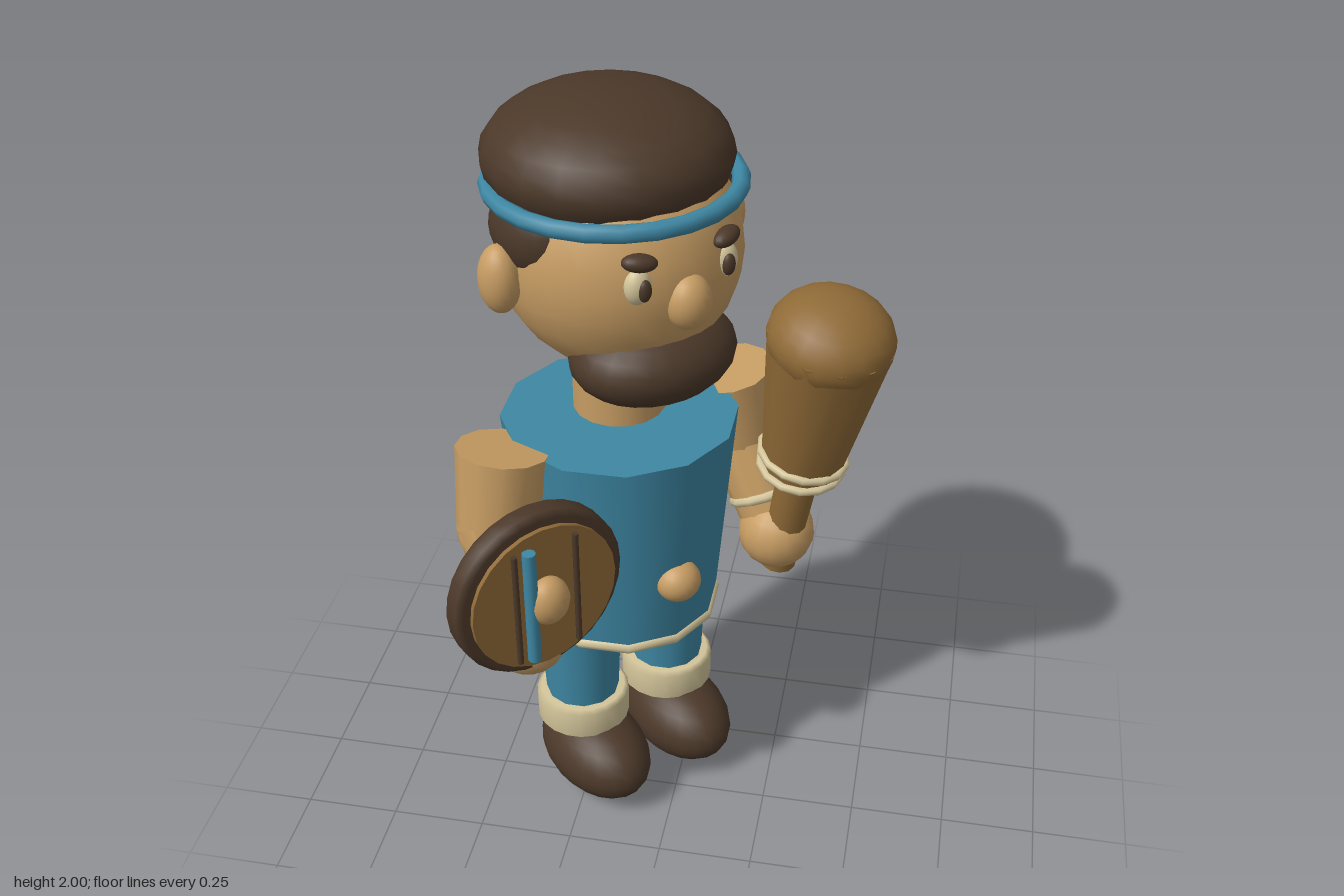
import * as THREE from 'three';

const mat = (name, color) => Object.assign(new THREE.MeshStandardMaterial({ color }), { name });

export function createModel() {
  const skin = mat('skin', 0xc69c63);
  const dark = mat('dark brown', 0x4b3829);
  const blue = mat('blue', 0x3e87a3);
  const cream = mat('cream', 0xd3c59a);
  const wood = mat('wood', 0x8f6a37);

  const model = new THREE.Group();
  model.name = 'figure';
  const body = new THREE.Group();
  body.name = 'body';
  body.position.set(-0.17, 0, -0.131);
  body.rotation.y = Math.PI / 4;
  model.add(body);

  const add = (name, geo, m, pos, parent = body) => {
    const mesh = new THREE.Mesh(geo, m);
    mesh.name = name;
    mesh.position.set(...pos);
    parent.add(mesh);
    return mesh;
  };
  const ball = (name, m, pos, r, parent = body, seg = 20) => {
    const mesh = add(name, new THREE.SphereGeometry(1, seg, 14), m, pos, parent);
    mesh.scale.set(...r);
    return mesh;
  };
  const tube = (name, m, pos, rTop, rBottom, h, seg = 12, parent = body) =>
    add(name, new THREE.CylinderGeometry(rTop, rBottom, h, seg), m, pos, parent);
  const ring = (name, m, pos, r, t, parent = body, seg = 24) => {
    const mesh = add(name, new THREE.TorusGeometry(r, t, 8, seg), m, pos, parent);
    mesh.rotation.x = Math.PI / 2;
    return mesh;
  };
  const UP = new THREE.Vector3(0, 1, 0);
  // tapered limb between two points
  const limb = (name, m, a, b, rA, rB) => {
    const p = new THREE.Vector3(...a), q = new THREE.Vector3(...b);
    const dir = p.clone().sub(q);
    const mid = p.clone().add(q).multiplyScalar(0.5);
    const mesh = tube(name, m, mid.toArray(), rA, rB, dir.length());
    mesh.quaternion.setFromUnitVectors(UP, dir.normalize());
    return mesh;
  };

  // torso and neck
  tube('torso', blue, [0, 0.87, 0], 0.302, 0.252, 0.57);
  tube('tunicTrim', cream, [0, 0.58, 0], 0.25, 0.25, 0.025);
  ring('tunicHem', cream, [0, 0.58, 0], 0.243, 0.018, body, 12);
  ball('belly', skin, [0, 0.78, 0.262], [0.06, 0.055, 0.055]);
  tube('neck', skin, [0, 1.29, 0], 0.117, 0.117, 0.22, 16);

  // head and face
  ball('head', skin, [0, 1.63, 0.015], [0.295, 0.3, 0.297], body, 28);
  ball('beard', dark, [0, 1.405, 0.155], [0.213, 0.115, 0.173], body, 24);
  ball('nose', skin, [0, 1.6, 0.3], [0.057, 0.068, 0.052]);
  ball('cap', dark, [0, 1.845, -0.028], [0.298, 0.155, 0.298], body, 20);
  ring('headband', blue, [0, 1.787, 0], 0.294, 0.022);

  for (const s of [-1, 1]) {
    const side = s > 0 ? 'left' : 'right';
    ball(side + 'Ear', skin, [s * 0.315, 1.62, 0], [0.05, 0.085, 0.055]);
    ball(side + 'Hair', dark, [s * 0.222, 1.72, 0], [0.09, 0.11, 0.13]);
    ball(side + 'Eye', cream, [s * 0.117, 1.66, 0.272], [0.034, 0.045, 0.028]);
    ball(side + 'Pupil', dark, [s * 0.114, 1.657, 0.295], [0.017, 0.027, 0.014]);
    const brow = ball(side + 'Brow', dark, [s * 0.117, 1.72, 0.28], [0.042, 0.021, 0.025]);
    brow.rotation.set(0, s * 0.35, s * 0.12);

    // arm
    limb(side + 'UpperArm', skin, [s * 0.338, 1.165, 0], [s * 0.378, 0.94, 0.015], 0.117, 0.1);
    ball(side + 'Elbow', skin, [s * 0.378, 0.95, 0.015], [0.1, 0.1, 0.1], body, 12);
    limb(side + 'Forearm', skin, [s * 0.375, 0.97, 0.01], [s * 0.388, 0.76, 0.135], 0.102, 0.08);
    const cuff = ring(side + 'Wristband', cream, [s * 0.387, 0.81, 0.108], 0.083, 0.014, body, 12);
    cuff.rotation.x = Math.PI / 2 - 0.53;
    ball(side + 'Hand', skin, [s * 0.39, 0.72, 0.165], [0.103, 0.103, 0.103], body, 16);

    // leg
    tube(side + 'Leg', blue, [s * 0.14, 0.43, 0], 0.112, 0.098, 0.32);
    const h = 0.05, r = 0.127;
    add(side + 'BootCuff', new THREE.LatheGeometry([
      [0.001, -h], [r - 0.012, -h], [r, -h + 0.012], [r, h - 0.012], [r - 0.012, h], [0.001, h],
    ].map(([x, y]) => new THREE.Vector2(x, y)), 20), cream, [s * 0.14, 0.263, 0]);
    ball(side + 'Boot', dark, [s * 0.137, 0.119, 0.053], [0.13, 0.119, 0.2], body, 22);
  }

  // club held upright in the left hand, leaning forward
  const club = new THREE.Group();
  club.name = 'club';
  club.position.set(0.392, 0.72, 0.195);
  club.rotation.x = 0.212;
  body.add(club);
  tube('clubHandle', wood, [0, 0.1, 0], 0.058, 0.05, 0.4, 12, club);
  tube('clubHead', wood, [0, 0.49, 0], 0.16, 0.105, 0.43, 12, club);
  ball('clubTop', wood, [0, 0.695, 0], [0.16, 0.115, 0.16], club, 18);
  [[0.275, 0.05], [0.31, -0.05]].forEach(([y, tilt], i) => {
    ring('clubBinding' + (i + 1), cream, [0, y, 0], 0.107 + i * 0.004, 0.012, club, 14).rotation.y = tilt;
  });

  // round shield in front of the right hand
  const shield = new THREE.Group();
  shield.name = 'shield';
  shield.position.set(-0.39, 0.905, 0.22);
  body.add(shield);
  const R = 0.23, d = 0.036;
  const disc = add('shieldDisc', new THREE.LatheGeometry([
    [0.001, -d], [R - 0.015, -d], [R, -d + 0.015], [R, d - 0.015], [R - 0.015, d], [0.001, d],
  ].map(([x, y]) => new THREE.Vector2(x, y)), 28), dark, [0, 0, 0], shield);
  disc.rotation.x = Math.PI / 2;
  tube('shieldFace', wood, [0, 0, 0.043], 0.198, 0.198, 0.012, 24, shield).rotation.x = Math.PI / 2;
  for (const x of [-0.083, 0.083]) {
    tube('shieldGroove', dark, [x, 0, 0.058], 0.008, 0.008, 0.32, 8, shield);
  }
  tube('shieldStripe', blue, [-0.047, 0, 0.064], 0.017, 0.017, 0.32, 10, shield);
  ball('shieldBoss', skin, [0, 0, 0.062], [0.055, 0.065, 0.045], shield, 16);

  return model;
}
